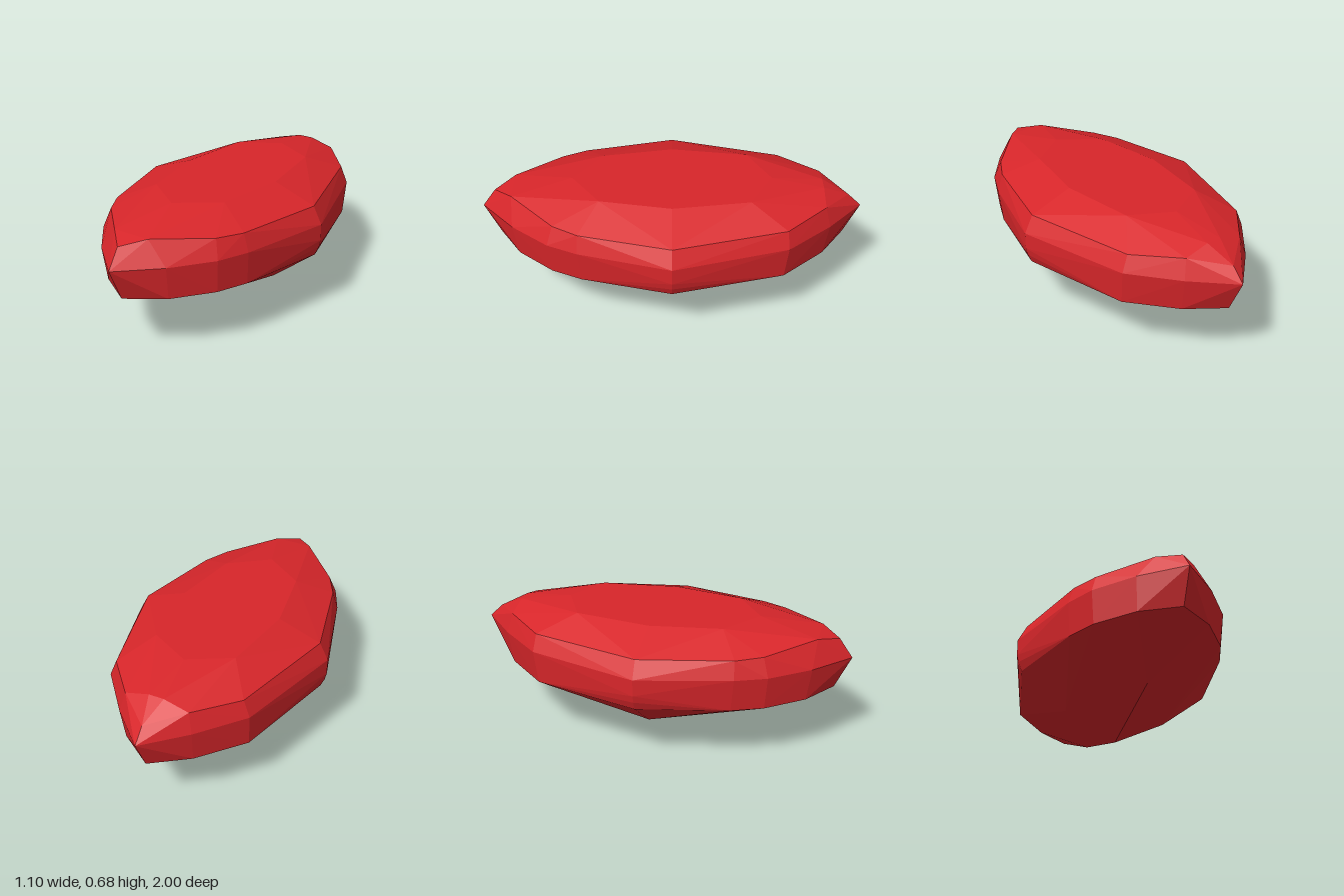
import * as THREE from 'three';
import { ConvexGeometry } from 'three/addons/geometries/ConvexGeometry.js';

// Half outlines [x, z, y] of each level of the stone, mirrored across x = 0
const at = (y, outline) => outline.map(([x, z]) => [x, z, y]);

const table = at(0.68, [[0, -0.52], [0.22, -0.4], [0.275, 0], [0.21, 0.37], [0, 0.52]]);

const crown = [
  [0, -0.93, 0.575], [0.04, -0.79, 0.645], [0.17, -0.79, 0.61], [0.35, -0.58, 0.595],
  [0.503, 0, 0.598], [0.39, 0.47, 0.6], [0.32, 0.6, 0.605], [0.1, 0.83, 0.632], [0, 0.93, 0.606],
];

const girdle = at(0.507, [
  [0, -1], [0.195, -0.815], [0.385, -0.588], [0.55, 0],
  [0.42, 0.475], [0.35, 0.63], [0.195, 0.825], [0, 1],
]);

// The girdle wall stays upright at the sides before turning in
const wall = [[0.55, 0, 0.42], [0.541, 0, 0.38]];

const lowerEdge = at(0.332, [
  [0, -0.92], [0.185, -0.79], [0.375, -0.57], [0.52, 0],
  [0.405, 0.46], [0.335, 0.615], [0.185, 0.8], [0, 0.92],
]);

// Pavilion: main facet corners, then the point at the bottom
const pavilion = [
  [0, -0.46, 0.14], [0.275, 0, 0.14], [0, 0.46, 0.14],
  [0.265, -0.33, 0.235], [0.265, 0.33, 0.235], [0, 0, 0],
];

export function createModel() {
  const group = new THREE.Group();
  group.name = 'marquiseGem';

  const points = [];
  for (const [x, z, y] of [table, crown, girdle, wall, lowerEdge, pavilion].flat()) {
    points.push(new THREE.Vector3(x, y, z));
    if (x > 0) points.push(new THREE.Vector3(-x, y, z));
  }

  // Flat facets stretched over all levels
  const stone = new THREE.Mesh(
    new ConvexGeometry(points),
    new THREE.MeshStandardMaterial({ color: 0xd8262a, flatShading: true }),
  );
  stone.name = 'facetedStone';
  group.add(stone);
  return group;
}
